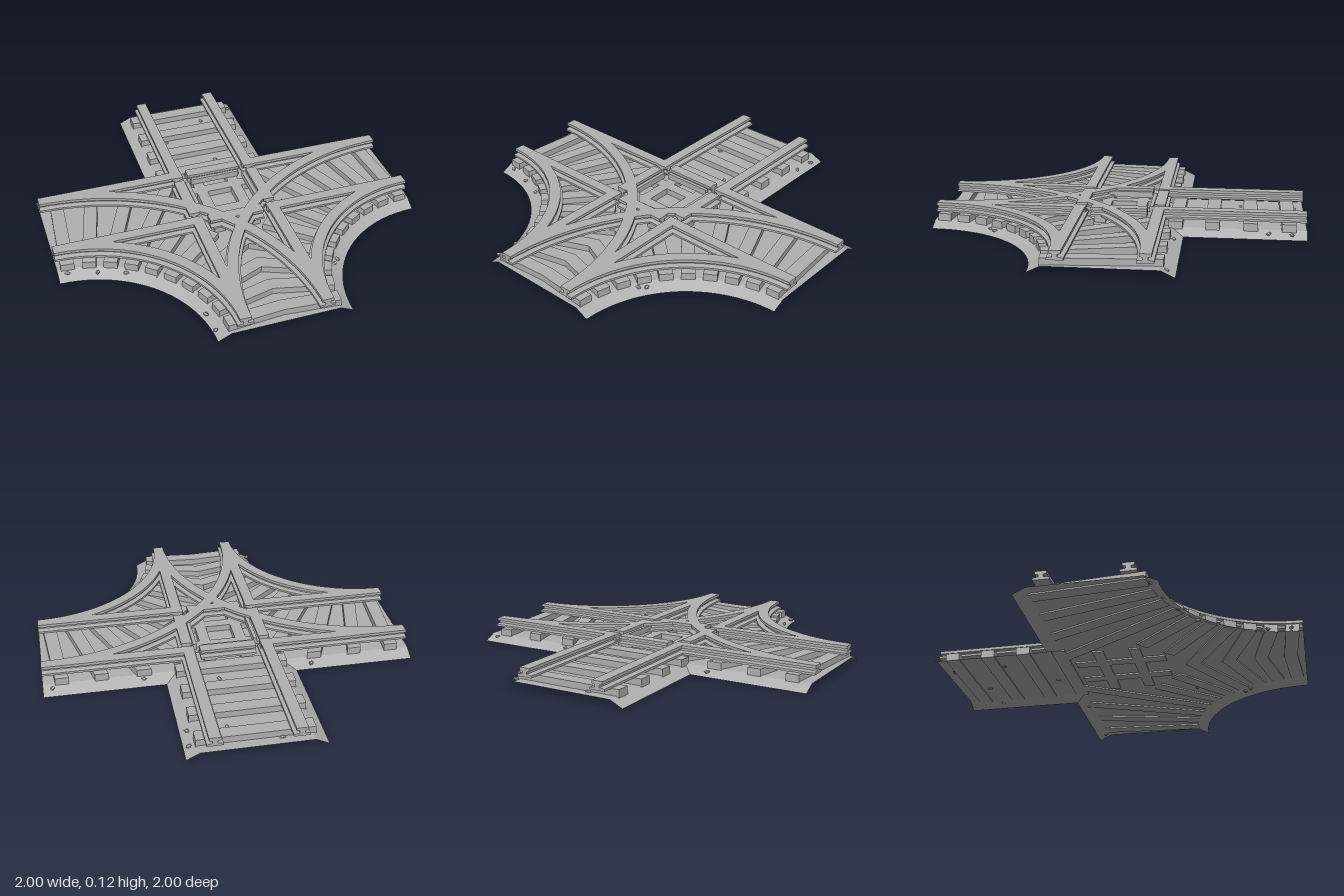
import * as THREE from 'three';
import { toCreasedNormals } from 'three/addons/utils/BufferGeometryUtils.js';

const GAUGE = 0.214; // rail centre distance from the track axis

export function createModel() {
  const model = new THREE.Group();
  const grey = new THREE.MeshStandardMaterial({ color: 0xb0b0b0 });
  grey.name = 'grey';
  const greySheet = new THREE.MeshStandardMaterial({ color: 0xb0b0b0, side: THREE.DoubleSide });
  greySheet.name = 'grey sheet';

  const add = (name, geometry, material = grey) => {
    const mesh = new THREE.Mesh(geometry, material);
    mesh.name = name;
    model.add(mesh);
    return mesh;
  };

  // Ground plan of the ballast bed at half-width h, with flags on the open arm ends
  const outline = (h) => {
    const pts = [];
    const push = (x, z, open = false) => pts.push({ x, z, open });
    push(-1, -h);
    push(-h, -h);
    push(-h, -1, true);
    push(h, -1);
    push(h, -h);
    push(1, -h, true);
    const n = 20;
    for (let i = 0; i <= n; i++) {
      const a = (i / n) * Math.PI / 2;
      push(1 - (1 - h) * Math.sin(a), 1 - (1 - h) * Math.cos(a), i === n);
    }
    for (let i = 0; i <= n; i++) {
      const a = (i / n) * Math.PI / 2;
      push(-1 + (1 - h) * Math.cos(a), 1 - (1 - h) * Math.sin(a), i === n);
    }
    return pts;
  };

  // Prism standing on a plan polygon of [x, z] corners
  const prism = (pts, y0, y1) => {
    const shape = new THREE.Shape(pts.map(([x, z]) => new THREE.Vector2(x, -z)));
    return new THREE.ExtrudeGeometry(shape, { depth: y1 - y0, bevelEnabled: false })
      .rotateX(-Math.PI / 2).translate(0, y0, 0);
  };

  // Ballast bed: flat top and sloping shoulder
  const BED = 0.034;
  const outer = outline(0.355), inner = outline(0.285);
  const bedShape = new THREE.Shape(inner.map((p) => new THREE.Vector2(p.x, -p.z)));
  add('bedTop', new THREE.ShapeGeometry(bedShape).rotateX(-Math.PI / 2).translate(0, BED, 0), greySheet);
  const rim = [];
  outer.forEach((o, i) => {
    if (o.open) return;
    const j = (i + 1) % outer.length;
    const a = [o.x, 0, o.z], b = [outer[j].x, 0, outer[j].z];
    const c = [inner[j].x, BED, inner[j].z], d = [inner[i].x, BED, inner[i].z];
    rim.push(...a, ...c, ...b, ...a, ...d, ...c);
  });
  const rimGeometry = new THREE.BufferGeometry();
  rimGeometry.setAttribute('position', new THREE.Float32BufferAttribute(rim, 3));
  rimGeometry.computeVertexNormals();
  add('bedShoulder', rimGeometry, greySheet);

  // Sleepers
  const T0 = 0.026, T1 = 0.069, HW = 0.036;
  const sleeper = (name, x, z, w, d) => add(name,
    new THREE.BoxGeometry(w, T1 - T0, d).translate(x, (T0 + T1) / 2, z));
  for (const z of [-0.905, -0.705, -0.505, -0.31]) sleeper('backSleeper', 0, z, 0.6, 0.075);
  for (const s of [-1, 1]) {
    sleeper('crossingSleeper', 0, s * 0.1, 0.5, 0.06);
    sleeper('crossingSleeper', s * 0.1, 0, 0.06, 0.5);
  }

  // Fanned sleepers, radial to each curve and mitred on the track axis
  for (const s of [-1, 1]) {
    for (let i = 0; i < 10; i++) {
      const a = THREE.MathUtils.degToRad(4.5 + 9 * i);
      const dx = Math.sin(a), dz = -Math.cos(a);
      const edge = (off) => {
        const x0 = -1 - dz * off, z0 = 1 + dx * off;
        const end = i < 4 ? (-0.295 - z0) / dz : i > 5 ? -x0 / dx : 1.12;
        return [0.705, end].map((r) => [s * -(x0 + dx * r), z0 + dz * r]);
      };
      const [p, q] = edge(-HW), [u, v] = edge(HW);
      add('fannedSleeper', prism([p, q, v, u], T0, T1));
    }
  }

  // Rail section: foot, web and head
  const section = [
    [-0.042, 0.067], [0.042, 0.067], [0.042, 0.079], [0.013, 0.083], [0.013, 0.096], [0.03, 0.099],
    [0.03, 0.115], [-0.03, 0.115], [-0.03, 0.099], [-0.013, 0.096], [-0.013, 0.083], [-0.042, 0.079],
  ];
  const caps = THREE.ShapeUtils.triangulateShape(section.map(([u, y]) => new THREE.Vector2(u, y)), []);

  // Sweep the rail section along stations of { x, z, tx, tz }
  const sweepRail = (name, path) => {
    const rings = path.map(({ x, z, tx, tz }) => section.map(([u, y]) => [x - tz * u, y, z + tx * u]));
    const pos = [];
    for (let i = 0; i + 1 < rings.length; i++) {
      section.forEach((_, j) => {
        const k = (j + 1) % section.length;
        const a = rings[i][j], b = rings[i][k], c = rings[i + 1][k], d = rings[i + 1][j];
        pos.push(...a, ...d, ...c, ...a, ...c, ...b);
      });
    }
    const last = rings[rings.length - 1];
    for (const [a, b, c] of caps) {
      pos.push(...rings[0][a], ...rings[0][b], ...rings[0][c]);
      pos.push(...last[a], ...last[c], ...last[b]);
    }
    const g = new THREE.BufferGeometry();
    g.setAttribute('position', new THREE.Float32BufferAttribute(pos, 3));
    g.computeVertexNormals();
    add(name, toCreasedNormals(g, 0.3));
  };

  // Straight rails, cut by flangeways at the crossing
  for (const s of [-1, 1]) {
    for (const [a, b] of [[-1, -0.182], [-0.152, 0.152], [0.182, 1]]) {
      sweepRail('longRail', [a, b].map((z) => ({ x: s * GAUGE, z, tx: 0, tz: 1 })));
      sweepRail('crossRail', [a, b].map((x) => ({ x, z: s * GAUGE, tx: 1, tz: 0 })));
    }
  }

  // Curved rails joining the front arm to both side arms
  for (const s of [-1, 1]) {
    for (const r of [1 - GAUGE, 1 + GAUGE]) {
      const path = [];
      for (let i = 0; i <= 32; i++) {
        const a = (i / 32) * Math.PI / 2;
        path.push({
          x: s * (1 - r * Math.sin(a)), z: 1 - r * Math.cos(a),
          tx: -s * Math.cos(a), tz: Math.sin(a),
        });
      }
      sweepRail('curvedRail', path);
    }
  }

  // Guard rails inside the crossing
  const guard = (x, z, w, d) => add('guardRail',
    new THREE.BoxGeometry(w, 0.034, d).translate(x, 0.085, z));
  guard(0, -0.168, 0.28, 0.02);
  for (const s of [-1, 1]) guard(s * 0.168, -0.02, 0.02, 0.26);

  // Loose stones on the ballast
  const stones = [
    [-0.13, -0.95], [0.12, -0.82], [-0.15, -0.65], [0.08, -0.4], [0.33, -0.92], [0.32, -0.8],
    [-0.44, -0.33], [0.47, -0.31], [0.95, -0.31], [-0.95, 0.31], [-0.8, 0.35], [-0.66, 0.4],
    [-0.52, 0.48], [0.32, 0.37], [0.42, 0.64], [0.39, 0.67], [-0.36, 0.82], [-0.35, 0.94],
  ];
  const stoneGeometry = new THREE.IcosahedronGeometry(0.014, 0);
  stones.forEach(([x, z], i) => {
    const stone = add('stone', stoneGeometry);
    const d = Math.abs(x) < 0.28 ? BED : 0.022;
    stone.position.set(x, d, z);
    stone.rotation.y = i * 1.7;
    stone.scale.set(1.2, 0.7, 0.8);
  });

  return model;
}
